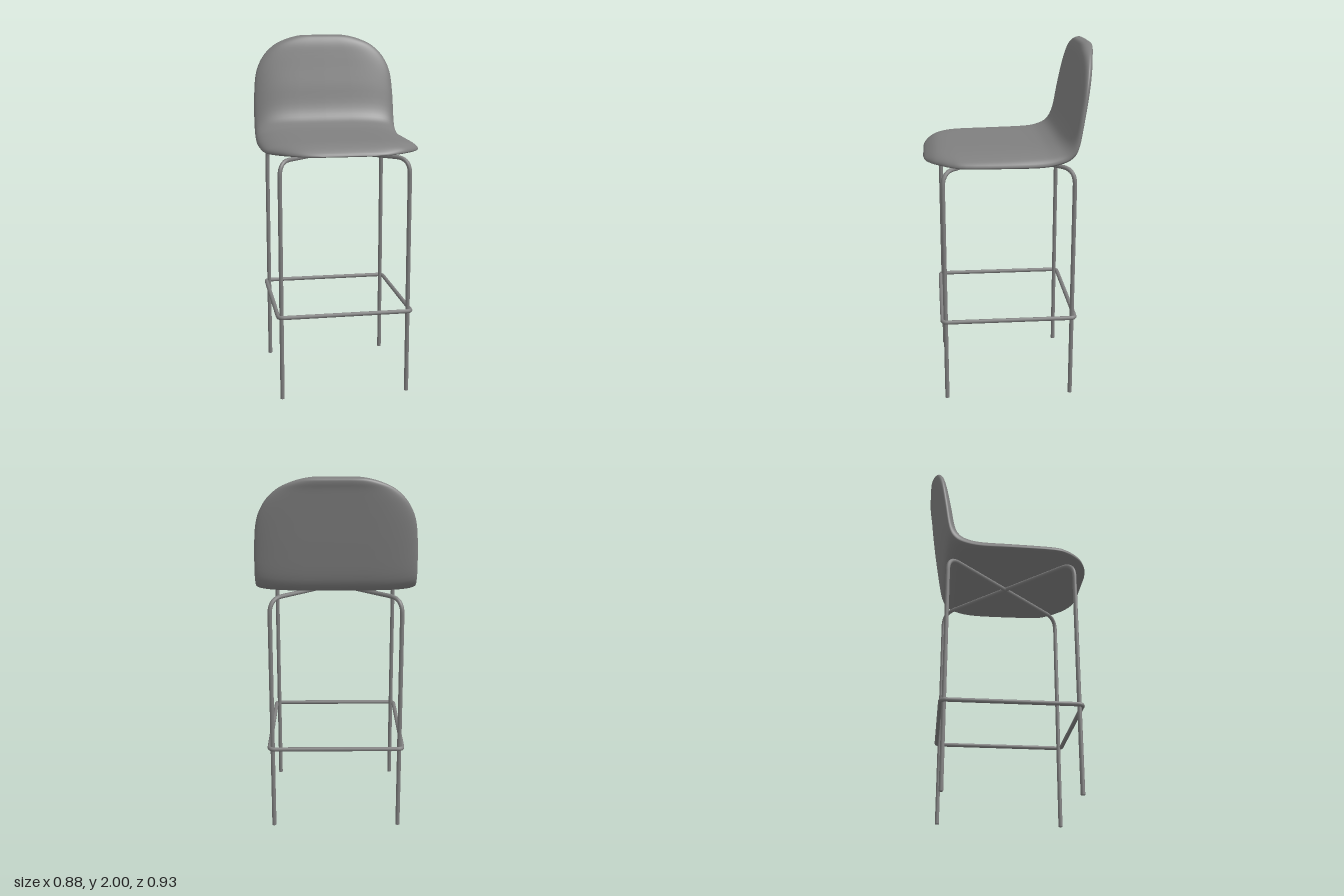
import * as THREE from 'three';
import { mergeVertices } from 'three/addons/utils/BufferGeometryUtils.js';

const material = new THREE.MeshStandardMaterial({ color: 0x808080, side: THREE.DoubleSide });
const TUBE = 0.012;
const CENTRE_Z = 0.007; // the frame sits slightly forward
const V = (x, y, z) => new THREE.Vector3(x, y, z);

function part(name, geometry) {
  const mesh = new THREE.Mesh(geometry, material);
  mesh.name = name;
  return mesh;
}

// Path through the given corners, each one rounded over a distance r
function roundedPath(corners, r, closed) {
  const path = new THREE.CurvePath();
  const n = corners.length;
  const toward = (a, b) => a.clone().add(b.clone().sub(a).setLength(r));
  const first = closed ? 0 : 1;
  const last = closed ? n - 1 : n - 2;
  let from = closed ? toward(corners[0], corners[n - 1]) : corners[0];
  for (let i = first; i <= last; i++) {
    const c = corners[i];
    const a = toward(c, corners[(i + n - 1) % n]);
    const b = toward(c, corners[(i + 1) % n]);
    if (from.distanceTo(a) > 1e-6) path.add(new THREE.LineCurve3(from, a));
    path.add(new THREE.QuadraticBezierCurve3(a, c, b));
    from = b;
  }
  const end = closed ? toward(corners[0], corners[n - 1]) : corners[n - 1];
  path.add(new THREE.LineCurve3(from, end));
  return path;
}

// Padded shell: stations from the front lip, through the bend, to the top of the back
// [top z, top y, underside z, underside y, half width]
const STATIONS = [
  [0.465, 1.378, 0.465, 1.378, 0.13],
  [0.455, 1.395, 0.452, 1.373, 0.22],
  [0.42, 1.42, 0.42, 1.37, 0.3],
  [0.38, 1.435, 0.38, 1.367, 0.35],
  [0.32, 1.441, 0.32, 1.363, 0.4],
  [0.24, 1.443, 0.24, 1.36, 0.43],
  [0, 1.448, 0, 1.357, 0.438],
  [-0.15, 1.455, -0.17, 1.357, 0.435],
  [-0.22, 1.468, -0.27, 1.373, 0.433],
  [-0.275, 1.5, -0.335, 1.4, 0.432],
  [-0.31, 1.57, -0.372, 1.455, 0.432],
  [-0.335, 1.7, -0.402, 1.61, 0.428],
  [-0.355, 1.8, -0.426, 1.76, 0.413],
  [-0.37, 1.88, -0.442, 1.865, 0.37],
  [-0.382, 1.94, -0.453, 1.935, 0.305],
  [-0.395, 1.975, -0.462, 1.97, 0.235],
  [-0.41, 1.994, -0.461, 1.99, 0.17],
  [-0.437, 2.0, -0.437, 2.0, 0.12],
];

function shellGeometry() {
  const spline = (pts) => new THREE.CatmullRomCurve3(pts, false, 'catmullrom', 0.5);
  const upper = spline(STATIONS.map(([z, y, , , w]) => V(w, y, z)));
  const lower = spline(STATIONS.map(([, , z, y, w]) => V(w, y, z)));
  const rows = (STATIONS.length - 1) * 4;
  const cols = 56;
  const positions = [];
  const index = [];
  for (let i = 0; i <= rows; i++) {
    const top = upper.getPoint(i / rows);
    const bottom = lower.getPoint(i / rows);
    // The side edge lies low on the seat and nearer the middle on the back
    const rimHeight = 0.28 + 0.17 * THREE.MathUtils.smoothstep(i / rows, 0.45, 0.75);
    const rim = bottom.clone().lerp(top, rimHeight);
    for (let j = 0; j < cols; j++) {
      const a = (j / cols) * Math.PI * 2;
      const c = Math.cos(a);
      const s = Math.sin(a);
      const p = rim.clone().lerp(s >= 0 ? top : bottom, Math.abs(s));
      positions.push(top.x * Math.sign(c) * Math.abs(c) ** 0.45, p.y, p.z);
      if (i < rows) {
        const k = i * cols + j;
        const m = i * cols + ((j + 1) % cols);
        index.push(k, k + cols, m, m, k + cols, m + cols);
      }
    }
  }
  const geometry = new THREE.BufferGeometry();
  geometry.setAttribute('position', new THREE.Float32BufferAttribute(positions, 3));
  geometry.setIndex(index);
  // Weld the closed lips so they shade smoothly
  const welded = mergeVertices(geometry, 1e-5);
  welded.computeVertexNormals();
  return welded;
}

export function createModel() {
  const model = new THREE.Group();
  model.name = 'barStool';
  model.add(part('seatShell', shellGeometry()));

  // Two bent legs crossing diagonally under the seat
  const frame = new THREE.Group();
  frame.name = 'frame';
  frame.position.z = CENTRE_Z;
  const leg = 0.357;
  const legTop = 1.345;
  for (const side of [1, -1]) {
    const x = leg * side;
    const path = roundedPath(
      [V(x, 0, leg), V(x, legTop, leg), V(-x, legTop, -leg), V(-x, 0, -leg)], 0.085, false);
    frame.add(part(side > 0 ? 'leftFrontLegPair' : 'rightFrontLegPair',
      new THREE.TubeGeometry(path, 220, TUBE, 10, false)));
    // Closed feet
    for (const end of [1, -1]) {
      const foot = part('foot', new THREE.CircleGeometry(TUBE, 10));
      foot.rotation.x = Math.PI / 2;
      foot.position.set(x * end, 0, leg * end);
      frame.add(foot);
    }
  }

  // Footrest ring around the legs
  const f = 0.375;
  const ring = roundedPath(
    [V(f, 0.48, f), V(f, 0.48, -f), V(-f, 0.48, -f), V(-f, 0.48, f)], 0.03, true);
  frame.add(part('footrest', new THREE.TubeGeometry(ring, 240, TUBE, 10, true)));
  model.add(frame);
  return model;
}
